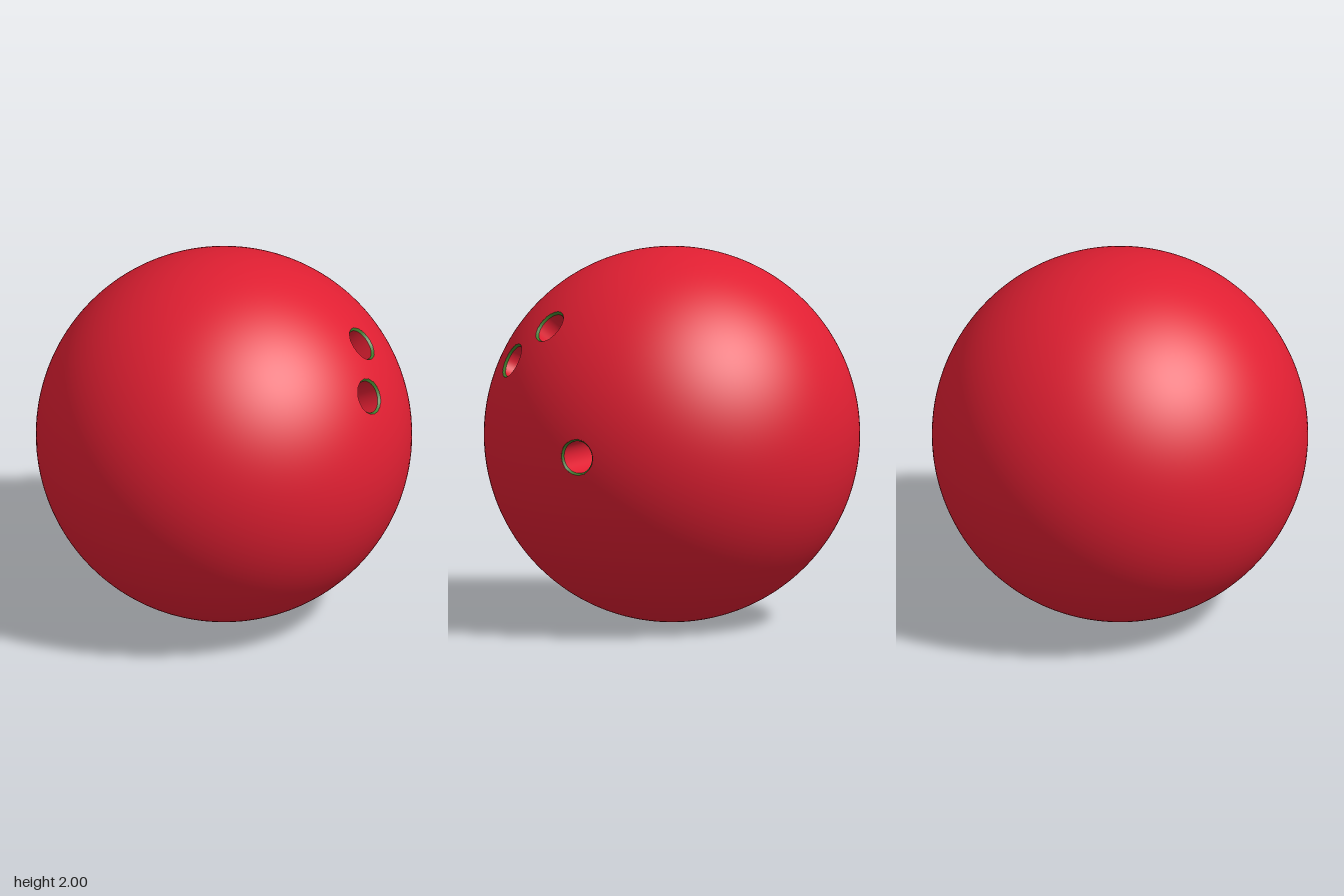
import * as THREE from 'three';

const RIM_OUTER = 0.098, RIM_INNER = 0.086, HOLE_BOTTOM = 0.53;
const RIM_TOP = Math.sqrt(1 - RIM_OUTER * RIM_OUTER);

// Hole directions from the centre of the ball
const HOLES = [
  ['upperFingerHole', new THREE.Vector3(0.53, 0.635, 0.55).normalize()],
  ['lowerFingerHole', new THREE.Vector3(0.45, 0.435, 0.77).normalize()],
  ['thumbHole', new THREE.Vector3(0.947, 0, 0.315).normalize()],
];

// Keep the part of a polygon that lies below the plane dir . p = dist
function clip(poly, dir, dist) {
  const out = [];
  poly.forEach((a, i) => {
    const b = poly[(i + 1) % poly.length];
    const da = a.dot(dir) - dist, db = b.dot(dir) - dist;
    if (da <= 0) out.push(a);
    if (da * db < 0) out.push(a.clone().lerp(b, da / (da - db)));
  });
  return out;
}

// Unit sphere with a round opening cut for each hole
function ballGeometry() {
  const src = new THREE.SphereGeometry(1, 160, 96).toNonIndexed().attributes.position;
  const positions = [], normals = [];
  for (let i = 0; i < src.count; i += 3) {
    let poly = [0, 1, 2].map((k) => new THREE.Vector3().fromBufferAttribute(src, i + k));
    for (const [, dir] of HOLES) poly = clip(poly, dir, RIM_TOP);
    for (let k = 1; k < poly.length - 1; k++) {
      for (const p of [poly[0], poly[k], poly[k + 1]]) {
        positions.push(p.x, p.y, p.z);
        const n = p.clone().normalize();
        normals.push(n.x, n.y, n.z);
      }
    }
  }
  const geometry = new THREE.BufferGeometry();
  geometry.setAttribute('position', new THREE.Float32BufferAttribute(positions, 3));
  geometry.setAttribute('normal', new THREE.Float32BufferAttribute(normals, 3));
  return geometry;
}

function lathe(name, points, material) {
  const profile = points.map(([r, y]) => new THREE.Vector2(r, y));
  const mesh = new THREE.Mesh(new THREE.LatheGeometry(profile, 64), material);
  mesh.name = name;
  return mesh;
}

export function createModel() {
  const model = new THREE.Group();
  model.name = 'bowlingBall';
  const red = new THREE.MeshStandardMaterial({ color: 0xe01f32 });
  const green = new THREE.MeshStandardMaterial({ color: 0x3f7a2a });

  const ball = new THREE.Mesh(ballGeometry(), red);
  ball.name = 'ball';
  ball.position.y = 1;
  model.add(ball);

  // Each hole: bevelled rim, straight wall and flat floor
  const rimBottom = RIM_TOP - 0.012;
  for (const [name, dir] of HOLES) {
    const hole = new THREE.Group();
    hole.name = name;
    hole.add(
      lathe('rim', [[RIM_OUTER, RIM_TOP], [RIM_INNER, rimBottom]], green),
      lathe('wall', [[RIM_INNER, rimBottom], [RIM_INNER, HOLE_BOTTOM]], red),
      lathe('floor', [[RIM_INNER, HOLE_BOTTOM], [0, HOLE_BOTTOM]], red),
    );
    hole.position.y = 1;
    hole.quaternion.setFromUnitVectors(new THREE.Vector3(0, 1, 0), dir);
    model.add(hole);
  }
  return model;
}
